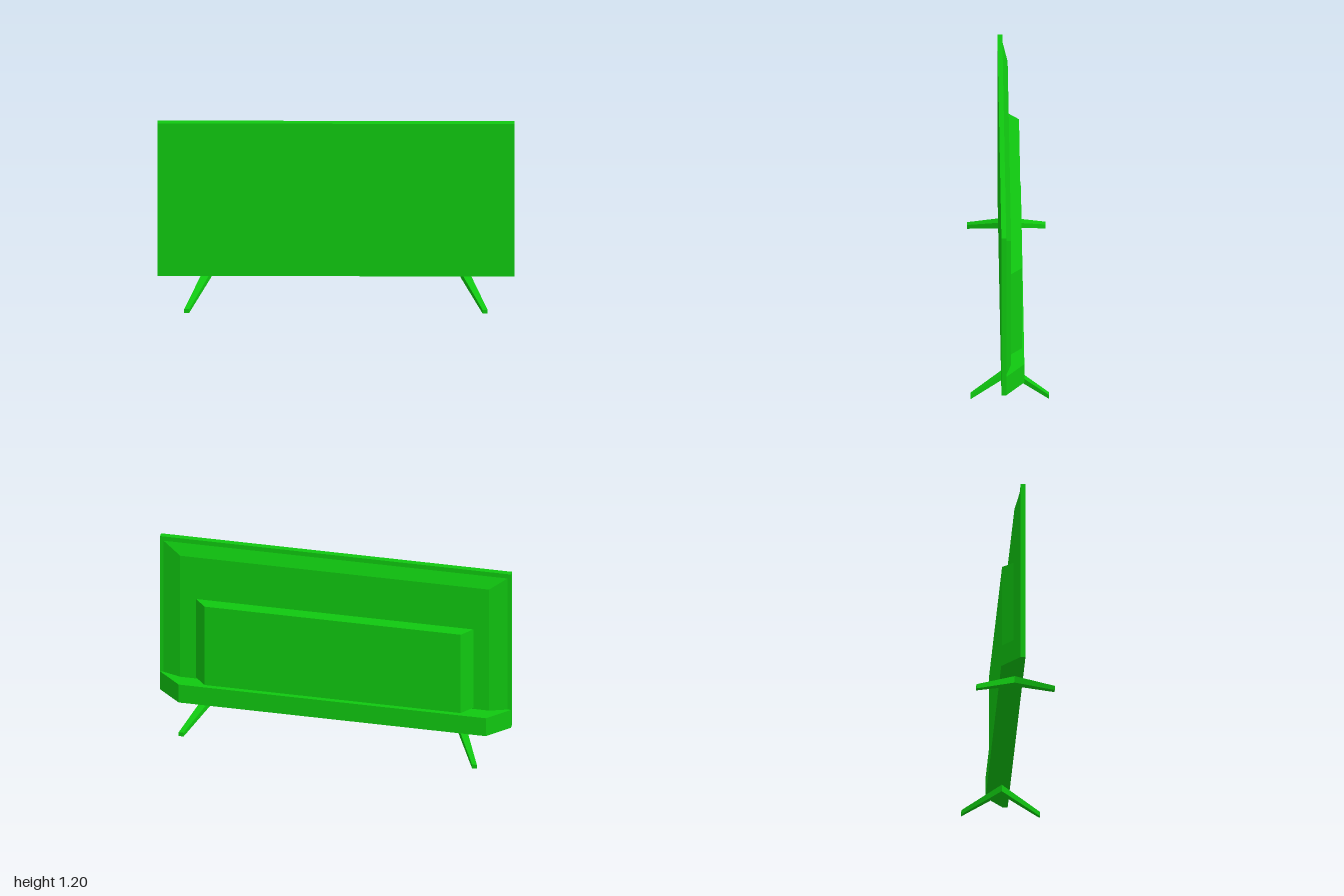
import * as THREE from 'three';

const material = new THREE.MeshStandardMaterial({ color: 0x10c810, flatShading: true });

// Upright rectangle of four corners, counter-clockwise seen from +z
const rect = (x0, x1, y0, y1, z) => [[x0, y0, z], [x1, y0, z], [x1, y1, z], [x0, y1, z]];

// Closed six-sided solid between a rear and a front rectangle
function loft(name, rear, front) {
  const points = [];
  const quad = (a, b, c, d) => points.push(a, b, c, a, c, d);
  quad(...front);
  quad(rear[3], rear[2], rear[1], rear[0]);
  for (let i = 0; i < 4; i++) {
    const j = (i + 1) % 4;
    quad(rear[i], rear[j], front[j], front[i]);
  }
  const geometry = new THREE.BufferGeometry();
  geometry.setAttribute('position', new THREE.Float32BufferAttribute(points.flat(), 3));
  geometry.computeVertexNormals();
  const mesh = new THREE.Mesh(geometry, material);
  mesh.name = name;
  return mesh;
}

export function createModel() {
  const group = new THREE.Group();
  group.name = 'television';

  // Thin screen slab
  const screen = new THREE.Mesh(new THREE.BoxGeometry(2, 1.07, 0.027), material);
  screen.name = 'screenPanel';
  screen.position.set(0, 0.665, 0.0345);
  group.add(screen);

  // Back shell with bevelled edges
  group.add(loft('backCover',
    rect(-0.88, 0.88, 0.2, 1.1, -0.008),
    rect(-0.98, 0.98, 0.14, 1.17, 0.021)));

  // Raised electronics housing with slanted ends
  group.add(loft('electronicsHousing',
    rect(-0.73, 0.73, 0.263, 0.81, -0.07),
    rect(-0.79, 0.79, 0.263, 0.81, -0.008)));

  // Deep bar along the bottom edge
  group.add(loft('lowerHousing',
    rect(-0.875, 0.875, 0.13, 0.255, -0.082),
    rect(-1, 1, 0.13, 0.255, 0.021)));

  // Two stands, each a pair of legs splayed forward and back
  for (const side of [1, -1]) {
    const stand = new THREE.Group();
    stand.name = side > 0 ? 'leftStand' : 'rightStand';
    const span = (a, b) => (side > 0 ? [a, b] : [-b, -a]);
    const top = rect(...span(0.697, 0.745), 0.09, 0.13, 0);
    const foot = (z) => rect(...span(0.822, 0.85), 0, 0.026, z);
    stand.add(loft('frontLeg', top, foot(0.22)), loft('backLeg', foot(-0.22), top));
    group.add(stand);
  }
  return group;
}
